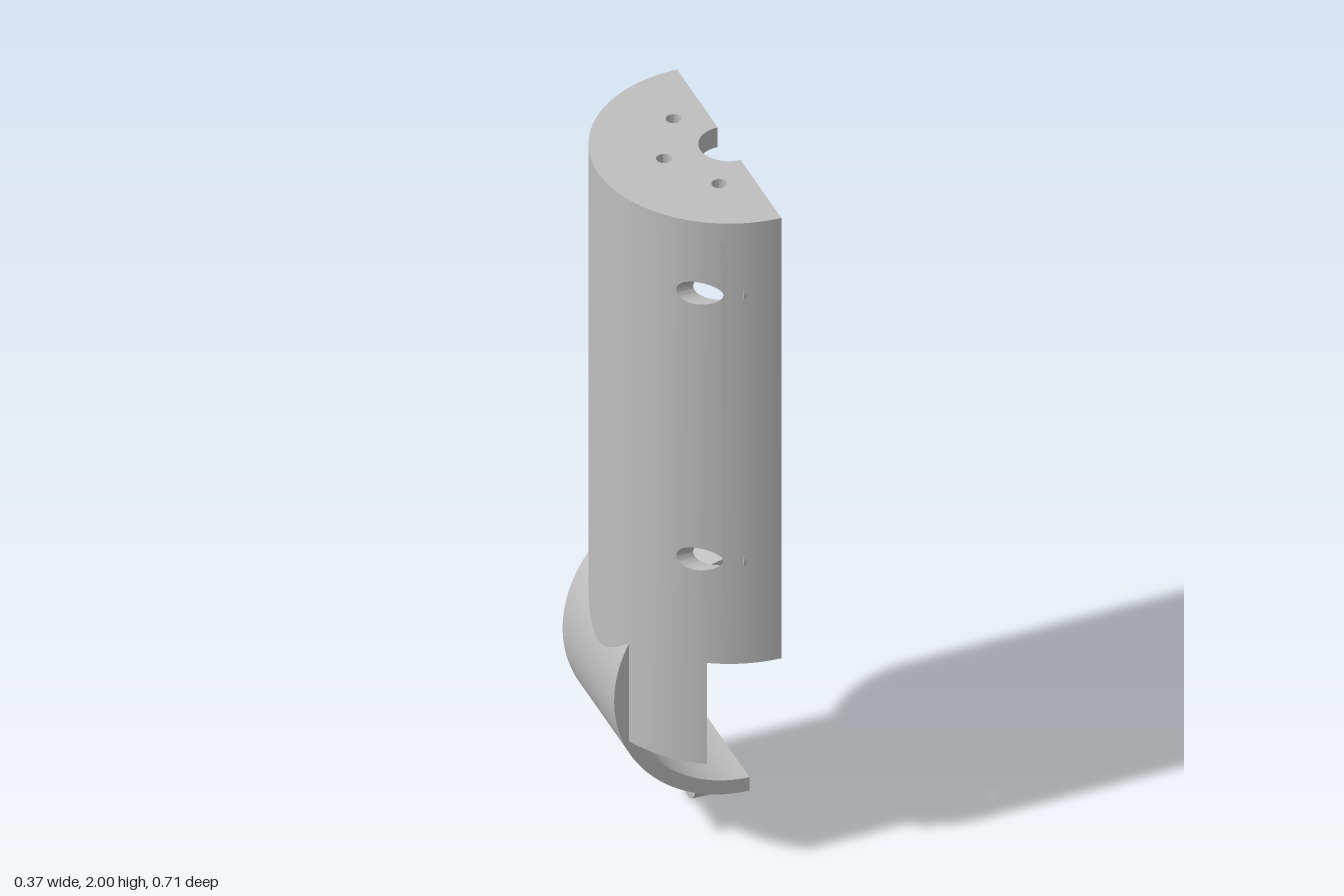
import * as THREE from 'three';
import { mergeGeometries, toCreasedNormals } from 'three/addons/utils/BufferGeometryUtils.js';

const X = 0.182;                 // open plane of the half shell
const RO = 0.355, RI = 0.325;    // shell radii
const CY = 0.4725, CO = 0.3675, CI = 0.326; // cradle centre height and radii
const Z0 = -0.213, Z1 = 0.138;   // cradle ends
const SEAM = 0.85, ROOF = 1.94;
const HOLE_Y = [0.965, 1.78], HOLE_Z = 0.29, HOLE_R = 0.034;

// Curved block of the shell: angles(t) gives [outer, inner] angle, lo/hi give heights at (x offset, z)
function block(n, angles, lo, hi) {
  const pos = [];
  const quad = (a, b, c, d) => pos.push(...a, ...b, ...c, ...a, ...c, ...d);
  const column = t => {
    const [ao, ai] = angles(t);
    const pt = (r, a, f) => {
      const d = r * Math.cos(a), z = r * Math.sin(a);
      return [X - d, f(d, z), z];
    };
    return { ol: pt(RO, ao, lo), oh: pt(RO, ao, hi), il: pt(RI, ai, lo), ih: pt(RI, ai, hi) };
  };
  for (let i = 0; i < n; i++) {
    const p = column(i / n), q = column((i + 1) / n);
    quad(p.ol, q.ol, q.oh, p.oh);
    quad(q.il, p.il, p.ih, q.ih);
    quad(p.oh, q.oh, q.ih, p.ih);
    quad(p.il, q.il, q.ol, p.ol);
    if (i === 0) quad(p.ol, p.oh, p.ih, p.il);
    if (i === n - 1) quad(q.il, q.ih, q.oh, q.ol);
  }
  const g = new THREE.BufferGeometry();
  g.setAttribute('position', new THREE.Float32BufferAttribute(pos, 3));
  return g;
}

const atZ = z => [Math.asin(z / RO), Math.asin(z / RI)];
const between = (a, b) => t => [0, 1].map(k => a[k] + (b[k] - a[k]) * t);
const level = y => () => y;

function shellGeometry() {
  const parts = [];
  const edge = [Math.PI / 2, Math.PI / 2];
  const neg = a => a.map(v => -v);
  const zIn = HOLE_Z - HOLE_R, zOut = HOLE_Z + HOLE_R;
  const h = z => Math.sqrt(Math.max(0, HOLE_R ** 2 - (Math.abs(z) - HOLE_Z) ** 2));

  // upper wall, with access holes on both sides
  parts.push(block(40, between(neg(atZ(zIn)), atZ(zIn)), level(SEAM), level(ROOF)));
  parts.push(block(10, between(atZ(zOut), edge), level(SEAM), level(ROOF)));
  parts.push(block(10, between(neg(edge), neg(atZ(zOut))), level(SEAM), level(ROOF)));
  for (const s of [-1, 1]) {
    const angles = t => atZ(s * HOLE_Z - HOLE_R * Math.cos(Math.PI * t));
    const below = y => (d, z) => y - h(z), above = y => (d, z) => y + h(z);
    parts.push(block(20, angles, level(SEAM), below(HOLE_Y[0])));
    parts.push(block(20, angles, above(HOLE_Y[0]), below(HOLE_Y[1])));
    parts.push(block(20, angles, above(HOLE_Y[1]), level(ROOF)));
  }

  // stepped lower edge
  const mid = [Math.acos(X / RO), Math.acos(X / RI)];
  const onCradle = d => CY + Math.sqrt(Math.max(0, 0.346 ** 2 - d * d));
  parts.push(block(16, between(atZ(Z1), mid), level(0.34), level(SEAM)));
  parts.push(block(14, between(mid, edge), level(0.65), level(SEAM)));
  parts.push(block(32, between(atZ(Z0), atZ(Z1)), onCradle, level(SEAM)));
  parts.push(block(20, between(neg(edge), atZ(Z0)), level(0.79), level(SEAM)));
  return toCreasedNormals(mergeGeometries(parts), 0.5);
}

// Half-disc roof slab with a shaft notch and three screw holes
function roofSlab(y, thickness, holeR) {
  const s = new THREE.Shape();
  s.absarc(0, 0, RO, Math.PI / 2, Math.PI * 1.5, false);
  s.absarc(0, 0, 0.078, Math.PI * 1.5, Math.PI / 2, true);
  for (const [x, z] of [[0.093, 0.155], [0.093, -0.155], [0.005, 0]]) {
    const hole = new THREE.Path();
    hole.absarc(x - X, z, holeR, 0, Math.PI * 2, true);
    s.holes.push(hole);
  }
  const g = new THREE.ExtrudeGeometry(s, { depth: thickness, bevelEnabled: false, curveSegments: 40 });
  g.rotateX(-Math.PI / 2).translate(X, y, 0);
  return toCreasedNormals(g, 0.5);
}

// Arc of the cradle ring between two angles in degrees
function cradleArc(from, to, z0, z1) {
  const a = THREE.MathUtils.degToRad(from), b = THREE.MathUtils.degToRad(to);
  const s = new THREE.Shape();
  s.absarc(0, 0, CO, a, b, false);
  s.absarc(0, 0, CI, b, a, true);
  const g = new THREE.ExtrudeGeometry(s, { depth: z1 - z0, bevelEnabled: false, curveSegments: 48 });
  g.translate(X, CY, z0);
  return toCreasedNormals(g, 0.5);
}

// Counterbored screw boss lying along x
function bossGeometry() {
  const L = 0.097;
  const profile = [[0.054, 0], [0.054, L], [0.02, L], [0.02, 0.05], [0.035, 0.05], [0.035, 0], [0.054, 0]];
  const g = new THREE.LatheGeometry(profile.map(p => new THREE.Vector2(...p)), 32);
  g.rotateZ(-Math.PI / 2);
  return toCreasedNormals(g, 0.5);
}

export function createModel() {
  const model = new THREE.Group();
  model.name = 'halfHousing';
  const grey = new THREE.MeshStandardMaterial({ color: 0xbfbfbf });
  grey.name = 'plainGrey';
  const add = (name, geometry, x = 0, y = 0, z = 0) => {
    const m = new THREE.Mesh(geometry, grey);
    m.name = name;
    m.position.set(x, y, z);
    model.add(m);
  };

  add('shell', shellGeometry());
  add('roofLower', roofSlab(ROOF, 0.03, 0.037));
  add('roofUpper', roofSlab(ROOF + 0.03, 0.03, 0.02));

  // cradle, with two slots cut into its back rim
  const slotZ = -0.145;
  add('cradle', cradleArc(90, 270, slotZ, Z1));
  for (const [a, b] of [[90, 132.5], [137.5, 222.5], [227.5, 270]]) {
    add('cradleRim', cradleArc(a, b, Z0, slotZ));
  }

  // screw bosses in the shell and lugs under the cradle
  const boss = bossGeometry();
  for (const y of HOLE_Y) {
    for (const s of [-1, 1]) add('screwBoss', boss, 0.085, y, s * HOLE_Z);
  }
  for (const z of [-0.042, -0.176]) add('cradleLug', boss, 0.085, 0.054, z);
  return model;
}
